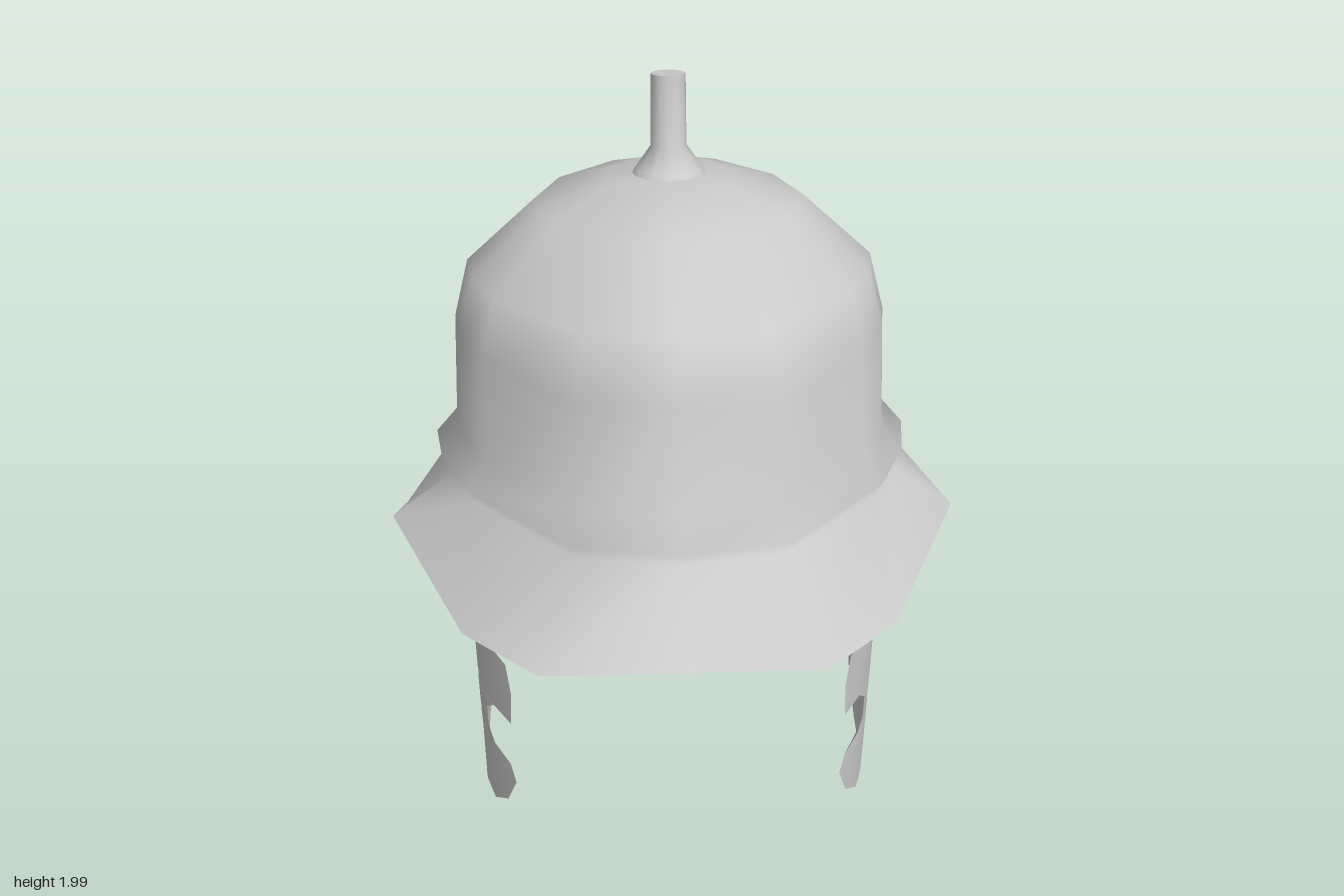
import * as THREE from 'three';

const material = new THREE.MeshStandardMaterial({ color: 0xcccccc, side: THREE.DoubleSide });

// Smooth surface through equally long rows of points
function loft(rows, closed) {
  const n = rows[0].length, index = [];
  for (let r = 0; r < rows.length - 1; r++) {
    for (let c = 0; c < (closed ? n : n - 1); c++) {
      const d = (c + 1) % n;
      const a = r * n + c, b = r * n + d, e = a + n, f = b + n;
      index.push(a, e, b, b, e, f);
    }
  }
  const geometry = new THREE.BufferGeometry();
  geometry.setAttribute('position', new THREE.Float32BufferAttribute(rows.flat(2), 3));
  geometry.setIndex(index);
  geometry.computeVertexNormals();
  return geometry;
}

// Completes a half ring (back to front on the left side) by mirroring
function mirrorRing(half) {
  const right = half.slice(1, -1).reverse().map(([x, y, z]) => [-x, y, z]);
  return [...half, ...right];
}

// Plan of the bowl from back to front: share of half width, share of depth
const PLAN = [[0, 0], [0.41, 0.04], [0.83, 0.25], [1, 0.505],
  [0.95, 0.63], [0.83, 0.755], [0.41, 0.965], [0, 1]];
const TILT = 0.15;

function bowlRing([y, halfWidth, back, front]) {
  return mirrorRing(PLAN.map(([u, t]) => {
    const z = back + t * (front - back);
    return [u * halfWidth, y + TILT * z, z];
  }));
}

// Cheek guard: rows of height, back edge, front edge; bent inwards at the front
const GUARD = [[0.005, 0.25, 0.33], [0.03, 0.14, 0.43], [0.11, 0.033, 0.515],
  [0.22, -0.03, 0.56], [0.273, -0.045, 0.54], [0.277, -0.045, 0.46],
  [0.31, -0.055, 0.42], [0.38, -0.063, 0.42], [0.433, -0.07, 0.475],
  [0.437, -0.07, 0.555], [0.55, -0.083, 0.565], [0.645, -0.09, 0.55],
  [0.65, -0.09, 0.47], [0.73, -0.095, 0.415], [0.8, -0.1, 0.39], [0.95, -0.1, 0.385]];

function guardGeometry(side) {
  const rows = GUARD.map(([y, back, front]) => {
    const row = [];
    for (let i = 0; i <= 8; i++) {
      const z = back + (front - back) * i / 8;
      const x = 0.567 - 1.2 * Math.max(0, z - 0.25) ** 2 - 0.05 * Math.max(0, 0.2 - z);
      row.push([side * x, y, z]);
    }
    return side > 0 ? row : row.reverse();
  });
  return loft(rows, false);
}

export function createModel() {
  const model = new THREE.Group();
  model.name = 'helmet';
  const add = (name, geometry) => {
    const mesh = new THREE.Mesh(geometry, material);
    mesh.name = name;
    model.add(mesh);
    return mesh;
  };

  // Flared wavy brim edge, then the raised bead and the dome up to its crown
  const brimEdge = mirrorRing([[0, 0.59, -0.94], [0.48, 0.607, -0.72], [0.7, 0.665, -0.43],
    [0.78, 0.705, -0.12], [0.77, 0.885, 0.2], [0.555, 0.815, 0.62],
    [0.35, 0.88, 0.86], [0, 0.945, 0.935]]);
  const bowl = [
    [0.965, 0.635, -0.77, 0.685],
    [1.015, 0.66, -0.81, 0.72],
    [1.085, 0.6, -0.75, 0.645],
    [1.365, 0.587, -0.77, 0.59],
    [1.525, 0.545, -0.745, 0.515],
    [1.69, 0.36, -0.56, 0.28],
    [1.75, 0.17, -0.35, 0.05],
    [1.768, 0, -0.15, -0.15],
  ].map(bowlRing);
  add('bowlAndBrim', loft([brimEdge, ...bowl], true));

  // Cheek guards
  add('leftCheekGuard', guardGeometry(1));
  add('rightCheekGuard', guardGeometry(-1));

  // Crest holder with a flared foot, leaning back with the bowl
  const profile = [[0.1, 0], [0.09, 0.02], [0.047, 0.08], [0.045, 0.266]]
    .map(([x, y]) => new THREE.Vector2(x, y));
  const holder = add('crestHolder', new THREE.LatheGeometry(profile, 12));
  const cap = new THREE.Mesh(new THREE.CircleGeometry(0.045, 12), material);
  cap.name = 'crestHolderCap';
  cap.rotation.x = -Math.PI / 2;
  cap.position.y = 0.266;
  holder.add(cap);
  holder.position.set(0, 1.73, -0.145);
  holder.rotation.x = -TILT;

  return model;
}
